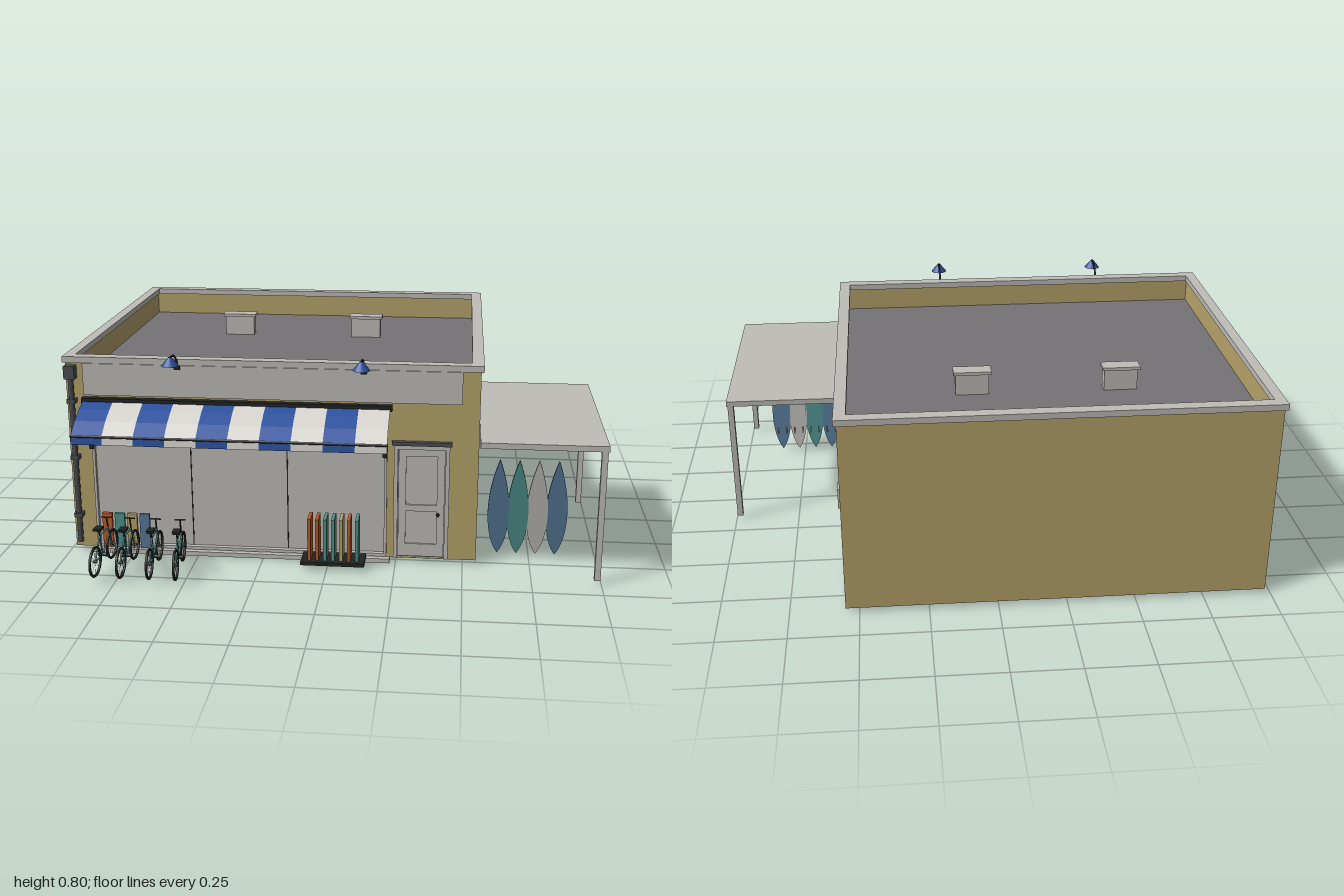
import * as THREE from 'three';

const mat = (name, color) => {
  const m = new THREE.MeshStandardMaterial({ color, side: THREE.DoubleSide });
  m.name = name;
  return m;
};

export function createModel() {
  const root = new THREE.Group();
  root.name = 'beachRentalShop';
  const wall = mat('ochre wall', 0xb9a56b), pale = mat('pale grey', 0xc0beb9);
  const deck = mat('roof grey', 0x757375), dark = mat('black', 0x222423);
  const pipe = mat('dark grey', 0x4c4f52), blue = mat('awning blue', 0x2b519f);
  const cream = mat('awning white', 0xd9d6d1), teal = mat('teal', 0x4f938e);
  const orange = mat('orange', 0xbd5c28), sea = mat('board blue', 0x587b9b);

  const add = (name, geo, m, parent = root) => {
    const mesh = new THREE.Mesh(geo, m);
    mesh.name = name;
    parent.add(mesh);
    return mesh;
  };
  // box given by its low and high limits on each axis
  const box = (name, m, x0, x1, y0, y1, z0, z1, parent = root) => {
    const b = add(name, new THREE.BoxGeometry(x1 - x0, y1 - y0, z1 - z0), m, parent);
    b.position.set((x0 + x1) / 2, (y0 + y1) / 2, (z0 + z1) / 2);
    return b;
  };
  // round bar between two points
  const bar = (name, m, a, b, r, parent = root) => {
    const p = new THREE.Vector3(...a), q = new THREE.Vector3(...b), d = q.clone().sub(p);
    const c = add(name, new THREE.CylinderGeometry(r, r, d.length(), 8), m, parent);
    c.position.copy(p).add(q).multiplyScalar(0.5);
    c.quaternion.setFromUnitVectors(new THREE.Vector3(0, 1, 0), d.normalize());
    return c;
  };
  const rect = (path, x0, x1, y0, y1) =>
    path.moveTo(x0, y0).lineTo(x1, y0).lineTo(x1, y1).lineTo(x0, y1).closePath();
  // flat wall with rectangular openings
  const panel = (outer, holes, depth) => {
    const s = rect(new THREE.Shape(), ...outer);
    for (const h of holes) s.holes.push(rect(new THREE.Path(), ...h));
    return new THREE.ExtrudeGeometry(s, { depth, bevelEnabled: false });
  };

  // Walls: an open shell
  const T = 0.022;
  add('frontWall', panel([-0.98, 0.55, 0.015, 0.742],
    [[-0.885, 0.205, 0.03, 0.51], [0.25, 0.44, 0.016, 0.455]], T), wall).position.z = 0.515 - T;
  box('backWall', wall, -0.98, 0.55, 0.015, 0.742, -0.855, -0.855 + T);
  box('rightWall', wall, 0.55 - T, 0.55, 0.015, 0.742, -0.855 + T, 0.515 - T);
  const left = add('leftWall', panel([-0.855 + T, 0.515 - T, 0.015, 0.742],
    [[-0.345, -0.095, 0.225, 0.435]], T), wall);
  left.rotation.y = -Math.PI / 2;
  left.position.x = -0.98 + T;

  // Roof and parapet coping
  box('roofDeck', deck, -0.98 + T, 0.55 - T, 0.63, 0.65, -0.855 + T, 0.515 - T);
  const coping = add('parapetCoping', panel([-0.99, 0.56, -0.52, 0.865],
    [[-0.95, 0.517, -0.475, 0.82]], 0.023), pale);
  coping.rotation.x = -Math.PI / 2;
  coping.position.y = 0.742;
  for (const x of [-0.49, 0.062]) {
    box('roofVent', pale, x - 0.062, x + 0.062, 0.65, 0.735, -0.445, -0.4);
    box('roofVentCap', pale, x - 0.07, x + 0.07, 0.73, 0.742, -0.452, -0.393);
  }
  box('fasciaBoard', pale, -0.915, 0.485, 0.62, 0.741, 0.515, 0.521);

  // Shop window, in three panes
  box('shopGlass', pale, -0.885, 0.205, 0.03, 0.51, 0.498, 0.506);
  for (const x of [-0.522, -0.158]) box('paneJoint', dark, x - 0.002, x + 0.002, 0.03, 0.51, 0.506, 0.508);
  for (const x of [-0.895, 0.205]) box('windowJamb', pale, x, x + 0.01, 0.03, 0.51, 0.505, 0.522);
  box('windowBottomRail', pale, -0.895, 0.215, 0.02, 0.032, 0.505, 0.525);
  box('windowSill', pale, -0.912, 0.228, 0, 0.017, 0.5, 0.54);

  // Door
  box('doorLeaf', pale, 0.25, 0.44, 0.016, 0.455, 0.494, 0.502);
  for (const x of [0.24, 0.43]) box('doorJamb', pale, x, x + 0.015, 0.016, 0.46, 0.495, 0.522);
  box('doorHead', pale, 0.24, 0.445, 0.445, 0.46, 0.495, 0.522);
  box('doorLintel', pipe, 0.232, 0.452, 0.463, 0.477, 0.512, 0.535);
  const stile = add('doorPanelFrame', panel([0.257, 0.428, 0.02, 0.443],
    [[0.285, 0.4, 0.07, 0.2], [0.285, 0.4, 0.225, 0.415]], 0.006), pale);
  stile.position.z = 0.502;
  bar('doorKnob', dark, [0.405, 0.19, 0.505], [0.405, 0.19, 0.522], 0.006);

  // Side window
  box('sideGlass', pale, -0.97, -0.964, 0.225, 0.435, -0.345, -0.095);
  const sideFrame = add('sideWindowFrame', panel([-0.357, -0.083, 0.22, 0.445],
    [[-0.337, -0.228, 0.24, 0.427], [-0.212, -0.103, 0.24, 0.427]], 0.016), pale);
  sideFrame.rotation.y = -Math.PI / 2;
  sideFrame.position.x = -0.97;
  box('sideWindowSill', pale, -0.997, -0.965, 0.212, 0.224, -0.365, -0.075);

  // Striped awning
  const profile = [[0.53, 0.603], [0.585, 0.585], [0.645, 0.557], [0.7, 0.52], [0.704, 0.486]];
  for (let i = 0; i < 10; i++) {
    const g = new THREE.PlaneGeometry(0.114, 1, 1, profile.length - 1).toNonIndexed();
    const p = g.attributes.position;
    for (let k = 0; k < p.count; k++) {
      const [z, y] = profile[Math.round((0.5 - p.getY(k)) * (profile.length - 1))];
      p.setY(k, y).setZ(k, z);
    }
    g.computeVertexNormals();
    add('awningStripe', g, i % 2 ? cream : blue).position.x = -0.915 + 0.057 + i * 0.114;
  }
  box('awningHousing', dark, -0.92, 0.232, 0.593, 0.613, 0.515, 0.54);
  bar('awningFrontBar', dark, [-0.917, 0.517, 0.703], [0.228, 0.517, 0.703], 0.005);
  for (const x of [-0.895, 0.207]) {
    bar('awningArm', dark, [x, 0.43, 0.525], [x, 0.515, 0.7], 0.004);
    box('awningBracket', dark, x - 0.008, x + 0.008, 0.412, 0.485, 0.515, 0.53);
  }

  // Downpipe
  box('rainHopper', pipe, -0.978, -0.938, 0.685, 0.735, 0.515, 0.55);
  bar('downpipe', pipe, [-0.957, 0.04, 0.533], [-0.957, 0.69, 0.533], 0.011);
  for (const y of [0.15, 0.38, 0.6]) box('pipeClip', pipe, -0.973, -0.941, y - 0.008, y + 0.008, 0.515, 0.546);

  // Gooseneck lamps
  for (const x of [-0.557, 0.127]) {
    const neck = new THREE.CatmullRomCurve3([[0.52, 0.737], [0.535, 0.767], [0.575, 0.792], [0.628, 0.797]]
      .map(([z, y]) => new THREE.Vector3(x, y, z)));
    add('lampNeck', new THREE.TubeGeometry(neck, 12, 0.004, 6), dark);
    box('lampMount', dark, x - 0.011, x + 0.011, 0.727, 0.742, 0.518, 0.53);
    add('lampShade', new THREE.CylinderGeometry(0.006, 0.032, 0.032, 16, 1, true), blue).position.set(x, 0.783, 0.626);
  }

  // Side canopy
  box('canopyRoof', pale, 0.552, 1, 0.505, 0.526, -0.165, 0.667);
  for (const z of [-0.15, 0.652]) box('canopyPost', pale, 0.974, 0.996, 0.016, 0.506, z - 0.011, z + 0.011);

  // Leaning surfboards
  const outline = new THREE.Shape();
  outline.moveTo(0, 0);
  outline.bezierCurveTo(0.045, 0.06, 0.06, 0.22, 0, 0.388);
  outline.bezierCurveTo(-0.06, 0.22, -0.045, 0.06, 0, 0);
  [sea, teal, pale, sea].forEach((m, i) => {
    const b = new THREE.Group();
    b.name = 'surfboard';
    add('boardBody', new THREE.ExtrudeGeometry(outline, { depth: 0.01, bevelEnabled: false, curveSegments: 16 }), m, b);
    for (const x of [-0.018, 0.018]) box('boardFin', pale, x - 0.002, x + 0.002, 0.075, 0.1, -0.018, 0, b);
    b.position.set(0.63 + i * 0.072, 0.018, 0.425);
    b.rotation.x = 0.115;
    root.add(b);
  });

  // Electric meter
  box('meterBox', pale, 0.55, 0.575, 0.205, 0.287, -0.47, -0.41);
  bar('meterConduit', dark, [0.558, 0.1, -0.44], [0.558, 0.21, -0.44], 0.005);

  // Bodyboards by the window and the upright board rack
  [orange, teal, wall, sea].forEach((m, i) => {
    const x = -0.865 + i * 0.048;
    box('bodyboard', m, x, x + 0.038, 0.025, 0.163, 0.53, 0.542);
  });
  box('rackBase', dark, -0.097, 0.14, 0.018, 0.031, 0.53, 0.63);
  [orange, orange, teal, teal, wall, orange, teal].forEach((m, i) => {
    const x = -0.066 + i * 0.0295;
    box('rackBoard', m, x - 0.006, x + 0.006, 0.031, 0.193, 0.535, 0.612);
  });

  // Bicycles, built around x = 0 and turned slightly
  const bike = (x, turn) => {
    const g = new THREE.Group();
    g.name = 'bicycle';
    const P = { rear: [0, 0.073, 0.087], front: [0, 0.073, -0.087], crank: [0, 0.07, 0.01],
      seat: [0, 0.15, 0.03], head: [0, 0.152, -0.055], neck: [0, 0.125, -0.062] };
    for (const hub of [P.rear, P.front]) {
      const t = add('tyre', new THREE.TorusGeometry(0.053, 0.005, 6, 24), dark, g);
      t.rotation.y = Math.PI / 2;
      t.position.set(...hub);
      bar('hub', dark, [-0.008, hub[1], hub[2]], [0.008, hub[1], hub[2]], 0.005, g);
      for (let k = 0; k < 4; k++) {
        const a = k * Math.PI / 4, y = Math.cos(a) * 0.052, z = Math.sin(a) * 0.052;
        bar('spokes', pale, [0, hub[1] - y, hub[2] - z], [0, hub[1] + y, hub[2] + z], 0.0006, g);
      }
    }
    for (const [a, b] of [['rear', 'crank'], ['rear', 'seat'], ['crank', 'seat'], ['seat', 'head'],
      ['crank', 'neck'], ['head', 'neck'], ['neck', 'front']])
      bar('frameTube', teal, P[a], P[b], 0.0035, g);
    bar('seatPost', dark, P.seat, [0, 0.18, 0.038], 0.003, g);
    box('saddle', dark, -0.014, 0.014, 0.178, 0.187, 0.02, 0.058, g);
    bar('stem', dark, P.head, [0, 0.195, -0.045], 0.003, g);
    bar('handlebar', dark, [-0.02, 0.195, -0.045], [0.02, 0.195, -0.045], 0.003, g);
    bar('pedalAxle', dark, [-0.016, 0.07, 0.01], [0.016, 0.07, 0.01], 0.007, g);
    g.position.set(x, 0, 0.71);
    g.rotation.y = turn;
    root.add(g);
  };
  [[-0.815, -0.08], [-0.725, -0.03], [-0.625, 0.03], [-0.532, 0.07]].forEach(b => bike(...b));

  return root;
}
